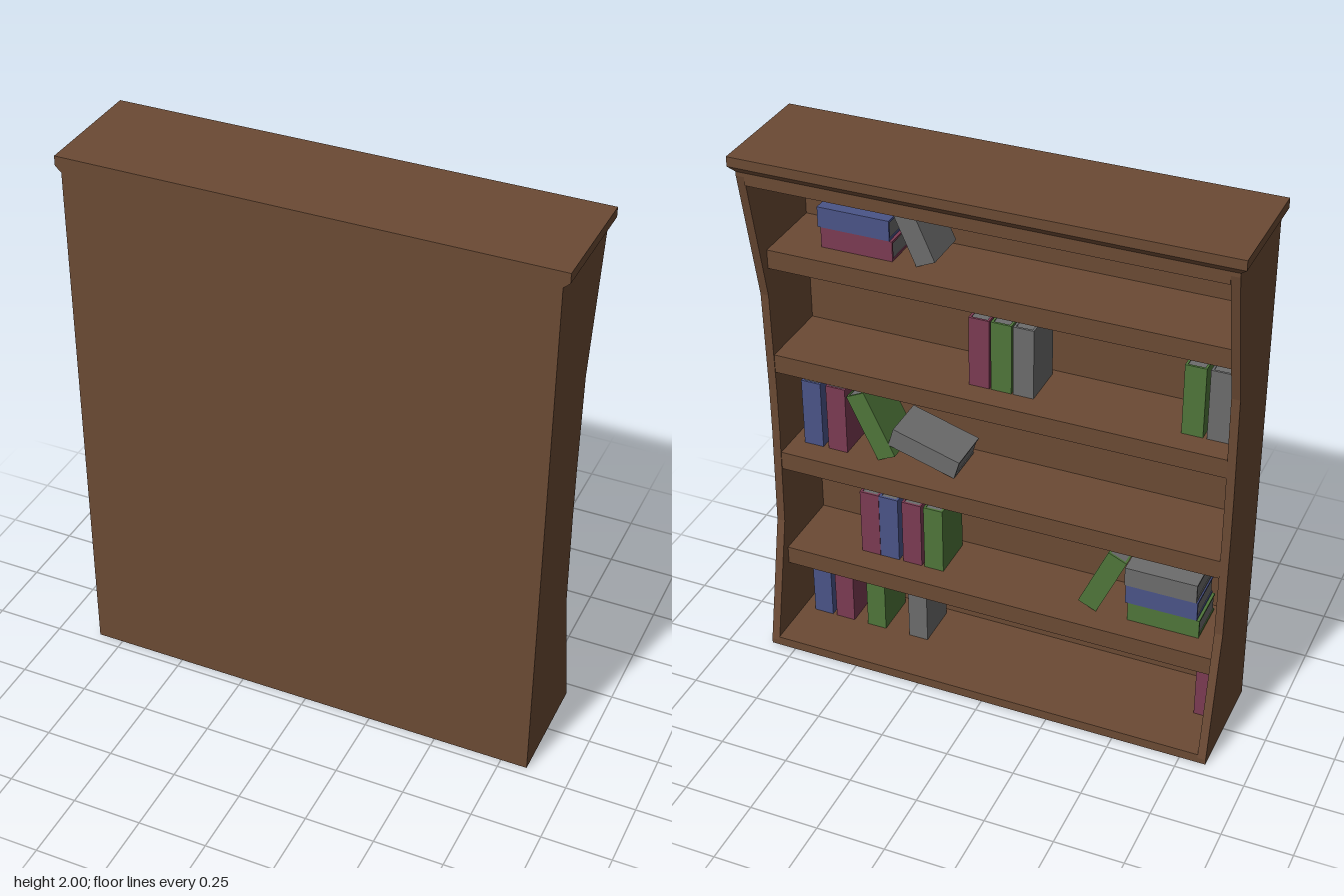
import * as THREE from 'three';

const material = (name, color) => {
  const m = new THREE.MeshStandardMaterial({ color });
  m.name = name;
  return m;
};

export function createModel() {
  const wood = material('brown wood', 0x6b4a34);
  const covers = {
    red: material('red cover', 0x7c3b53),
    green: material('green cover', 0x4f763a),
    blue: material('blue cover', 0x4a5488),
    grey: material('grey cover and pages', 0x6c6c6c),
  };
  const model = new THREE.Group();
  model.name = 'bookcase';

  const add = (parent, name, geometry, mat) => {
    const mesh = new THREE.Mesh(geometry, mat);
    mesh.name = name;
    parent.add(mesh);
    return mesh;
  };
  // Box given by its minimum and maximum on each axis
  const box = (parent, name, mat, x0, x1, y0, y1, z0, z1) =>
    add(parent, name, new THREE.BoxGeometry(x1 - x0, y1 - y0, z1 - z0), mat)
      .position.set((x0 + x1) / 2, (y0 + y1) / 2, (z0 + z1) / 2);

  // Side panels with a hollowed open edge
  const profile = new THREE.Shape([
    [-0.215, 0], [0.2, 0], [0.2, 0.02], [0.1, 0.5], [0.09, 0.88],
    [0.09, 1.06], [0.1, 1.44], [0.2, 1.93], [0.2, 1.95], [-0.215, 1.95],
  ].map(([x, y]) => new THREE.Vector2(x, y)));
  for (const [name, x] of [['leftSide', 0.815], ['rightSide', -0.845]]) {
    const g = new THREE.ExtrudeGeometry(profile, { depth: 0.03, bevelEnabled: false });
    add(model, name, g.rotateY(Math.PI / 2), wood).position.x = x;
  }

  // Carcass boards
  box(model, 'backPanel', wood, -0.815, 0.815, 0, 1.95, 0.195, 0.215);
  box(model, 'floorBoard', wood, -0.815, 0.815, 0, 0.035, -0.2, 0.195);
  box(model, 'topRail', wood, -0.815, 0.815, 1.9, 1.95, -0.2, -0.18);
  box(model, 'topSlab', wood, -0.867, 0.867, 1.965, 2, -0.215, 0.215);

  // Chamfered moulding that narrows below the top slab
  const moulding = new THREE.BoxGeometry(1.734, 0.02, 0.43).toNonIndexed();
  const p = moulding.attributes.position;
  for (let i = 0; i < p.count; i++) {
    if (p.getY(i) > 0) continue;
    p.setX(i, Math.sign(p.getX(i)) * 0.845);
    if (p.getZ(i) < 0) p.setZ(i, -0.2);
  }
  moulding.computeVertexNormals();
  add(model, 'topMoulding', moulding, wood).position.y = 1.955;

  // Shelves
  const levels = [0.035, 0.375, 0.795, 1.2, 1.61];
  for (const y of levels.slice(1)) box(model, 'shelf', wood, -0.815, 0.815, y - 0.07, y, -0.09, 0.195);

  // Book: two covers, a spine and a page block; lean tips its top toward +x
  const W = 0.074, H = 0.262, Z0 = 0, Z1 = 0.17, T = 0.008;
  const book = (level, x, color, lean = 0, lift = 0) => {
    const g = new THREE.Group();
    g.name = color + 'Book';
    const mat = covers[color];
    for (const s of [-1, 1]) {
      const a = s * W / 2, b = s * (W / 2 - T);
      box(g, 'cover', mat, Math.min(a, b), Math.max(a, b), 0, H, Z0, Z1);
    }
    box(g, 'spine', mat, -W / 2 + T, W / 2 - T, 0, H, Z0, Z0 + T);
    box(g, 'pages', covers.grey, -W / 2 + T, W / 2 - T, 0.003, H - 0.003, Z0 + T, Z1 - 0.004);
    g.position.set(x, levels[level] + lift + Math.abs(Math.sin(lean)) * W / 2, 0);
    g.rotation.z = -lean;
    model.add(g);
  };

  const flat = Math.PI / 2;
  [
    // Bottom board
    [0, 0.73, 'blue'], [0, 0.64, 'red'], [0, 0.51, 'green'], [0, 0.34, 'grey'], [0, -0.77, 'red'],
    // First shelf, with a stack beside a leaning book
    [1, 0.52, 'red'], [1, 0.445, 'blue'], [1, 0.355, 'red'], [1, 0.27, 'green'],
    [1, -0.32, 'green', -0.42],
    [1, -0.47, 'green', -flat], [1, -0.46, 'blue', -flat, W], [1, -0.455, 'grey', -flat, 2 * W],
    // Second shelf
    [2, 0.73, 'blue'], [2, 0.635, 'red'], [2, 0.445, 'green', 0.45], [2, 0.175, 'grey', 1.28],
    // Third shelf
    [3, 0.087, 'red'], [3, 0.007, 'green'], [3, -0.073, 'grey'], [3, -0.665, 'green'], [3, -0.752, 'grey'],
    // Fourth shelf
    [4, 0.395, 'red', flat], [4, 0.405, 'blue', flat, W], [4, 0.275, 'grey', 0.42],
  ].forEach((b) => book(...b));

  return model;
}
